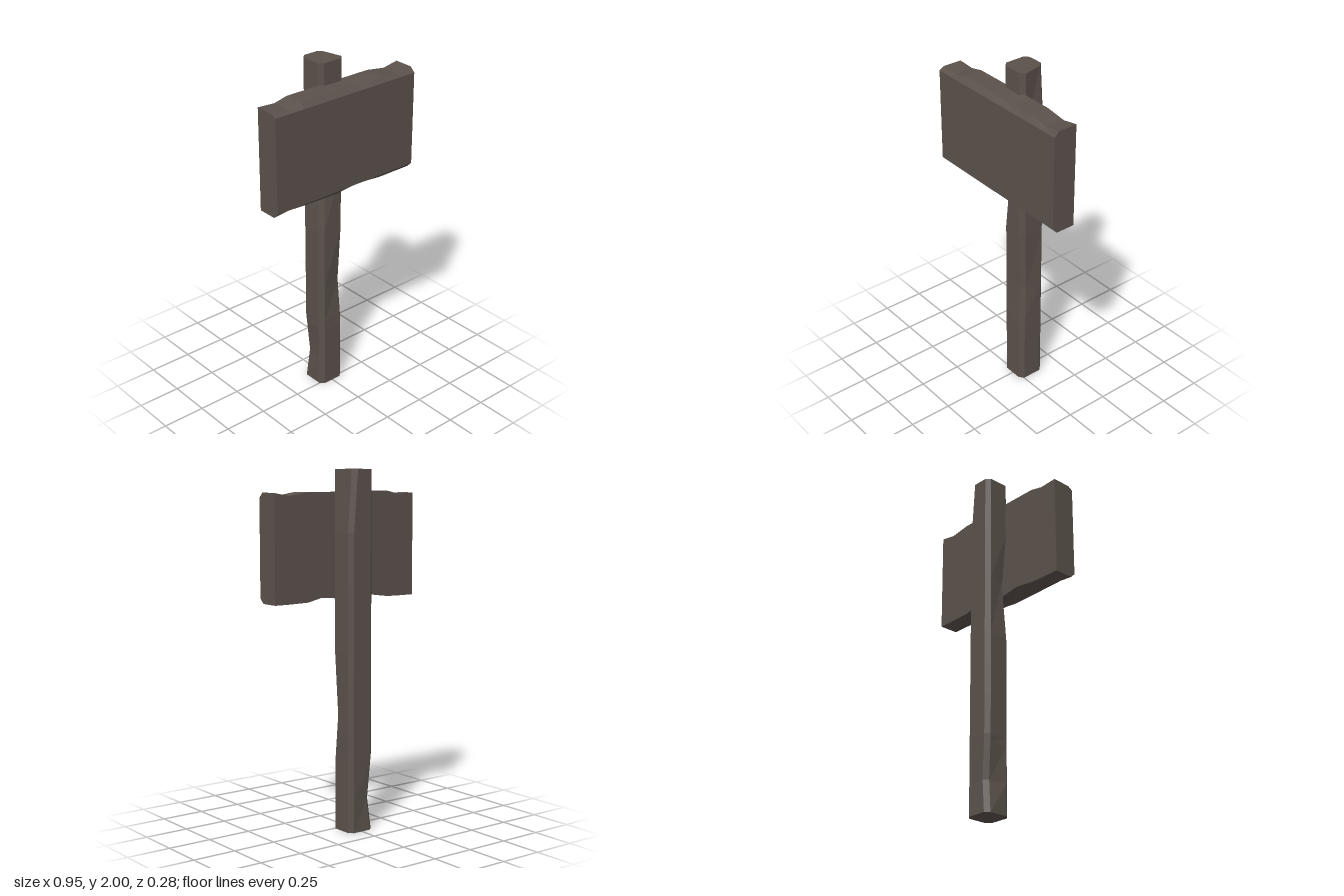
import * as THREE from 'three';

const wood = new THREE.MeshStandardMaterial({ color: 0x5a514b, roughness: 0.9, flatShading: true });

// Skin a series of equal-length rings and close both ends
function loft(name, rings) {
  const pos = [];
  const tri = (...pts) => pts.forEach(p => pos.push(...p));
  const n = rings[0].length;
  for (let i = 0; i < rings.length - 1; i++) {
    for (let j = 0; j < n; j++) {
      const k = (j + 1) % n;
      const a = rings[i][j], b = rings[i][k], c = rings[i + 1][k], d = rings[i + 1][j];
      tri(a, b, c);
      tri(a, c, d);
    }
  }
  const first = rings[0], last = rings[rings.length - 1];
  for (let j = 1; j < n - 1; j++) {
    tri(first[0], first[j + 1], first[j]);
    tri(last[0], last[j], last[j + 1]);
  }
  const geo = new THREE.BufferGeometry();
  geo.setAttribute('position', new THREE.Float32BufferAttribute(pos, 3));
  geo.computeVertexNormals();
  const mesh = new THREE.Mesh(geo, wood);
  mesh.name = name;
  return mesh;
}

// Linear interpolation through [position, value] pairs
function sample(pairs, t) {
  for (let i = 1; i < pairs.length; i++) {
    const [t0, v0] = pairs[i - 1], [t1, v1] = pairs[i];
    if (t <= t1) return v0 + (v1 - v0) * Math.max(0, (t - t0) / (t1 - t0));
  }
  return pairs[pairs.length - 1][1];
}

// Square post with chamfered corners, each worn at its own height
function createPost() {
  const h = 0.081, c = 0.057, zMid = -0.06;
  // sx, sz: corner; dx, dz: wear shift; wear: amount along the height
  const corners = [
    { sx: 1, sz: 1, dx: -0.009, dz: -0.015, wear: [[0.38, 0], [0.65, 1], [1, 0]] },
    { sx: 1, sz: -1, dx: -0.026, dz: 0, wear: [[1.66, 0], [2, 1]] },
    { sx: -1, sz: -1, dx: 0.02, dz: 0.008, wear: [[0, 0], [0.18, 1], [0.43, 0]] },
    { sx: -1, sz: 1, dx: 0.017, dz: -0.017, wear: [[1.02, 0], [1.36, 1], [1.66, 0]] },
  ];
  const levels = [0, 0.18, 0.38, 0.43, 0.65, 1, 1.02, 1.36, 1.66, 2];
  return loft('post', levels.map(y => corners.flatMap(({ sx, sz, dx, dz, wear }) => {
    const w = sample(wear, y);
    const onSide = [sx * h + dx * w, y, zMid + sz * c + dz * w];
    const onFace = [sx * c + dx * w, y, zMid + sz * h + dz * w];
    return sx * sz > 0 ? [onFace, onSide] : [onSide, onFace];
  })));
}

// Sign board with bevelled front edges and uneven top and bottom
function createBoard() {
  const top = [[-0.475, 1.866], [-0.37, 1.86], [-0.29, 1.878], [0.26, 1.878], [0.38, 1.86], [0.475, 1.877]];
  const topFront = [[-0.475, 1.866], [-0.37, 1.86], [-0.29, 1.878], [-0.06, 1.878], [0.1, 1.864],
    [0.26, 1.878], [0.38, 1.86], [0.475, 1.877]];
  const bottomBack = [[-0.305, 1.286], [-0.167, 1.305], [-0.04, 1.286], [0.1, 1.302], [0.17, 1.308], [0.27, 1.286]];
  const bottomFront = [[-0.475, 1.286], [-0.37, 1.296], [-0.25, 1.288], [-0.04, 1.285], [0.1, 1.3], [0.26, 1.286]];
  const stations = [-0.475, -0.37, -0.29, -0.167, -0.04, 0.1, 0.17, 0.26, 0.38, 0.475];
  return loft('board', stations.map(x => [
    [x, sample(bottomBack, x), 0],
    [x, sample(top, x), 0],
    [x, sample(topFront, x), 0.112],
    [x, 1.849, 0.14],
    [x, 1.314, 0.14],
    [x, sample(bottomFront, x), 0.112],
  ]));
}

export function createModel() {
  const group = new THREE.Group();
  group.name = 'signpost';
  group.add(createPost(), createBoard());
  return group;
}
